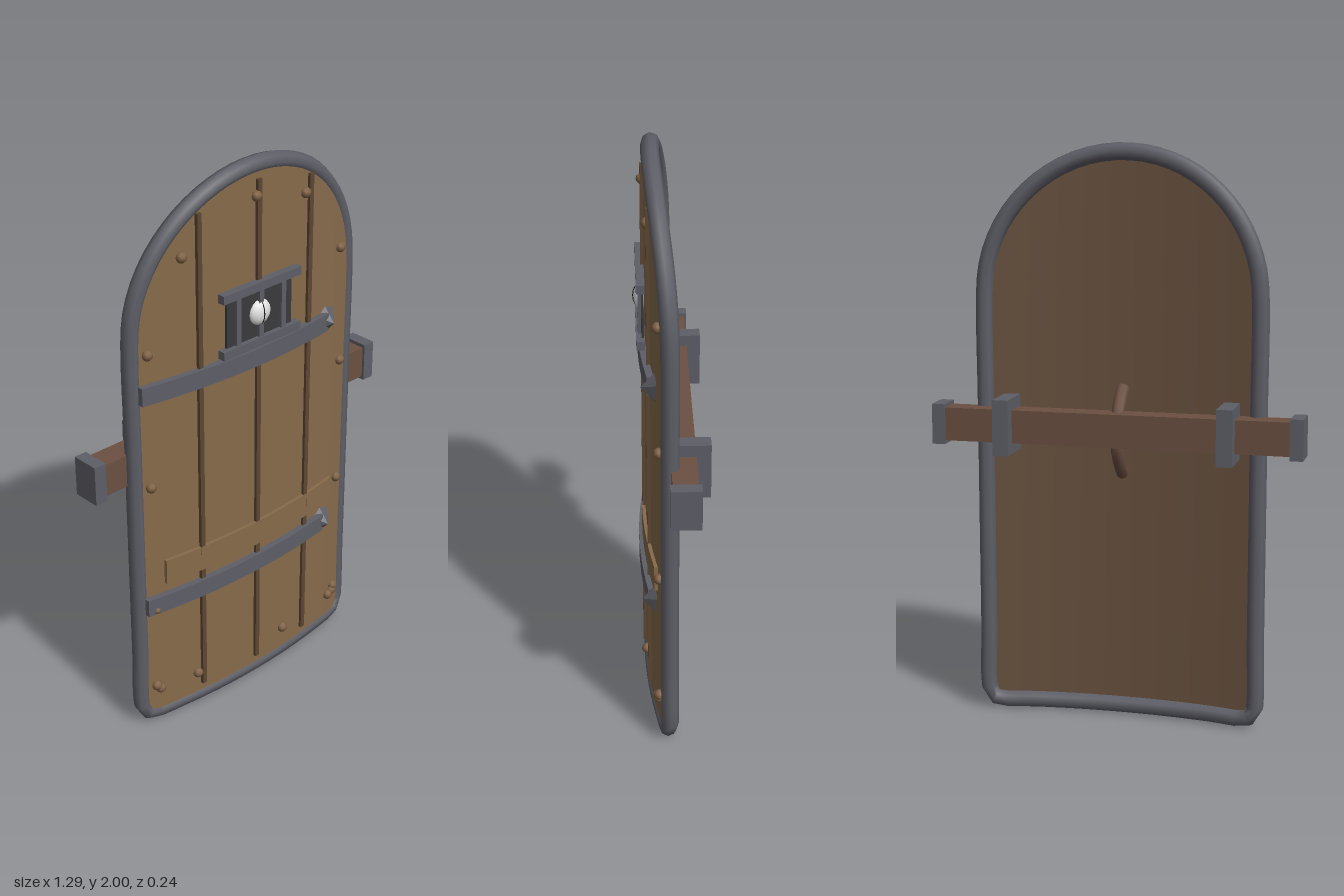
import * as THREE from 'three';

const mat = (name, color, side = THREE.FrontSide) => {
  const m = new THREE.MeshStandardMaterial({ color, side });
  m.name = name;
  return m;
};

// Shared bow of the door: depth of its middle surface at x
const bow = (x) => 0.06 - 0.21 * x * x;
const HALF = 0.48, SPRING = 1.49, BASE = 0.03;

function bend(geo) {
  const p = geo.attributes.position;
  for (let i = 0; i < p.count; i++) p.setZ(i, p.getZ(i) + bow(p.getX(i)));
  geo.computeVertexNormals();
  return geo;
}

// Arched, bowed sheet: straight sides, then a half-round top
function sheet(offset, flip) {
  const rows = 14, geo = new THREE.PlaneGeometry(2, 1, 16, rows);
  const p = geo.attributes.position;
  for (let i = 0; i < p.count; i++) {
    const r = Math.round((p.getY(i) + 0.5) * rows);
    const a = Math.max(0, r - 2) / (rows - 2) * Math.PI / 2;
    const y = r < 2 ? BASE + r / 2 * (SPRING - BASE) : SPRING + HALF * Math.sin(a);
    p.setXYZ(i, p.getX(i) * HALF * Math.cos(a) * (flip ? -1 : 1), y, offset);
  }
  return bend(geo);
}

export function createModel() {
  const group = new THREE.Group();
  group.name = 'archedDoor';
  const wood = mat('door wood', 0x876b4b);
  const backWood = mat('back wood', 0x6a5340);
  const beamWood = mat('beam wood', 0x6b5042);
  const groove = mat('dark groove', 0x5c4632);
  const iron = mat('iron', 0x5e5e67);
  const rivetMat = mat('rivet bronze', 0x7d6044);
  const pane = mat('dark opening', 0x3a3a3c);
  const white = mat('eye white', 0xe4e4e4);
  const black = mat('pupil black', 0x1c1c1e);

  const add = (name, geo, material, x = 0, y = 0, z = 0) => {
    const m = new THREE.Mesh(geo, material);
    m.name = name;
    m.position.set(x, y, z);
    group.add(m);
    return m;
  };
  const box = (name, w, h, d, material, x, y, z) =>
    add(name, new THREE.BoxGeometry(w, h, d), material, x, y, z);
  // Bar that follows the bow of the door
  const bent = (name, x0, x1, y0, y1, d, offset, material) => {
    const g = new THREE.BoxGeometry(x1 - x0, y1 - y0, d, 14, 1, 1);
    g.translate((x0 + x1) / 2, (y0 + y1) / 2, offset);
    return add(name, bend(g), material);
  };

  // Door panel
  add('frontPanel', sheet(0.022, false), wood);
  add('backPanel', sheet(-0.004, true), backWood);

  // Iron rim around the outline
  const pts = [];
  const put = (x, y) => pts.push(new THREE.Vector3(x, y, bow(x)));
  for (let i = 0; i <= 16; i++) {
    const a = i / 16 * Math.PI;
    put(HALF * Math.cos(a), SPRING + HALF * Math.sin(a));
  }
  for (const y of [1.1, 0.7, 0.3, 0.07]) put(-HALF, y);
  put(-HALF + 0.012, BASE + 0.012);
  for (let i = -4; i <= 4; i++) put(i * 0.11, BASE);
  put(HALF - 0.012, BASE + 0.012);
  for (const y of [0.07, 0.3, 0.7, 1.1]) put(HALF, y);
  const path = new THREE.CatmullRomCurve3(pts, true);
  add('rim', new THREE.TubeGeometry(path, 110, 0.03, 8, true), iron);

  // Plank grooves
  for (const [x, top] of [[-0.245, 1.88], [0, 1.93], [0.245, 1.88]])
    box('plankGroove', 0.018, top - 0.08, 0.02, groove, x, (top + 0.08) / 2, bow(x) + 0.023);

  // Hinge straps with faceted tips
  for (const y of [1.315, 0.502]) {
    bent('hingeStrap', -0.475, 0.34, y - 0.032, y + 0.032, 0.03, 0.03, iron);
    const tip = new THREE.ConeGeometry(0.055, 0.05, 6).toNonIndexed();
    tip.rotateX(Math.PI / 2);
    tip.computeVertexNormals();
    add('strapTip', tip, iron, 0.345, y, bow(0.345) + 0.042);
  }

  // Repair plank
  bent('repairPlank', -0.395, 0.395, 0.57, 0.663, 0.02, 0.024, wood);

  // Barred peephole
  box('peepholeOpening', 0.29, 0.18, 0.008, pane, 0, 1.47, 0.089);
  for (const y of [1.571, 1.372]) box('peepholeRail', 0.345, 0.03, 0.028, iron, 0, y, 0.096);
  for (const x of [-0.1, 0, 0.1]) box('peepholeBar', 0.02, 0.18, 0.014, iron, x, 1.47, 0.097);

  // Eye behind the bars
  const eye = add('eye', new THREE.SphereGeometry(0.046, 12, 8), white, 0, 1.472, 0.09);
  eye.scale.z = 0.6;
  const pupil = add('pupil', new THREE.SphereGeometry(0.04, 8, 8), black, 0, 1.472, 0.1);
  pupil.scale.set(0.16, 1, 0.5);

  // Rivets
  const rivets = [[-0.31, 1.75], [-0.01, 1.875], [0.22, 1.82], [0.42, 1.56], [-0.44, 1.45],
    [0.435, 1.125], [-0.44, 0.965], [0.435, 0.643], [-0.44, 0.155], [-0.425, 0.138],
    [-0.27, 0.135], [0.135, 0.135], [0.405, 0.135], [0.428, 0.145], [0.435, 0.162]];
  const rivetGeo = new THREE.SphereGeometry(0.019, 8, 6);
  for (const [x, y] of rivets) add('rivet', rivetGeo, rivetMat, x, y, bow(x) + 0.026);
  add('smallRivet', new THREE.SphereGeometry(0.014, 8, 6), rivetMat, -0.44, 0.482, bow(0.44) + 0.038);

  // Locking beam with iron caps and brackets
  box('lockingBeam', 1.21, 0.115, 0.083, beamWood, 0, 1.04, -0.034);
  for (const s of [-1, 1]) {
    box('beamCap', 0.045, 0.14, 0.1, iron, s * 0.622, 1.04, -0.034);
    box('beamBracket', 0.055, 0.193, 0.15, iron, s * 0.387, 1.042, -0.048);
  }

  // Bowed grip
  const grip = new THREE.CatmullRomCurve3([[0.87, 0.055], [0.91, 0.012], [0.96, -0.02],
    [1.02, -0.03], [1.08, -0.02], [1.13, 0.012], [1.17, 0.055]]
    .map(([y, z]) => new THREE.Vector3(0, y, z)));
  add('grip', new THREE.TubeGeometry(grip, 16, 0.023, 8), beamWood);

  return group;
}
